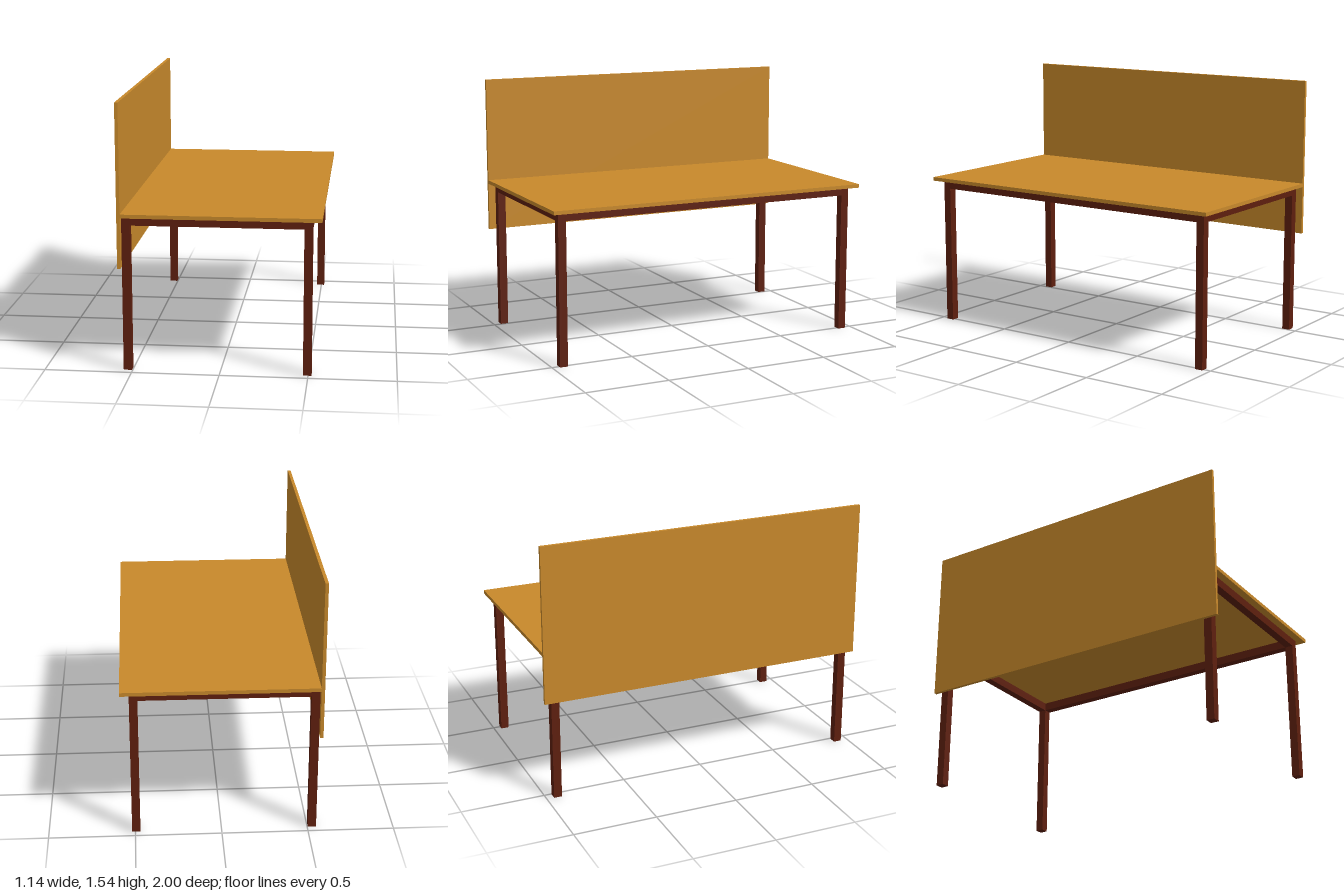
import * as THREE from 'three';

export function createModel() {
  const group = new THREE.Group();
  const board = new THREE.MeshStandardMaterial({ color: 0xc8892b });
  const frame = new THREE.MeshStandardMaterial({ color: 0x5e1f0e });

  // Box given by its minimum and maximum along each axis
  function box(name, material, [x0, x1], [y0, y1], [z0, z1]) {
    const mesh = new THREE.Mesh(new THREE.BoxGeometry(x1 - x0, y1 - y0, z1 - z0), material);
    mesh.position.set((x0 + x1) / 2, (y0 + y1) / 2, (z0 + z1) / 2);
    mesh.name = name;
    group.add(mesh);
  }

  // Desktop and the upright screen along its edge
  box('desktop', board, [-0.552, 0.571], [0.897, 0.919], [-1, 1]);
  box('privacyScreen', board, [-0.571, -0.552], [0.608, 1.545], [-1, 1]);

  // Square legs with rails between them, all of one bar width
  const bar = 0.048;
  const left = -0.552, right = 0.519, end = 0.956, top = 0.897;
  const railY = [top - 0.05, top];
  const xBars = [[left, left + bar], [right - bar, right]];
  const zBars = [[-end, -end + bar], [end - bar, end]];

  for (const x of xBars) {
    for (const z of zBars) box('leg', frame, x, [0, top], z);
    box('longRail', frame, x, railY, [-end + bar, end - bar]);
  }
  for (const z of zBars) box('shortRail', frame, [left + bar, right - bar], railY, z);

  return group;
}
